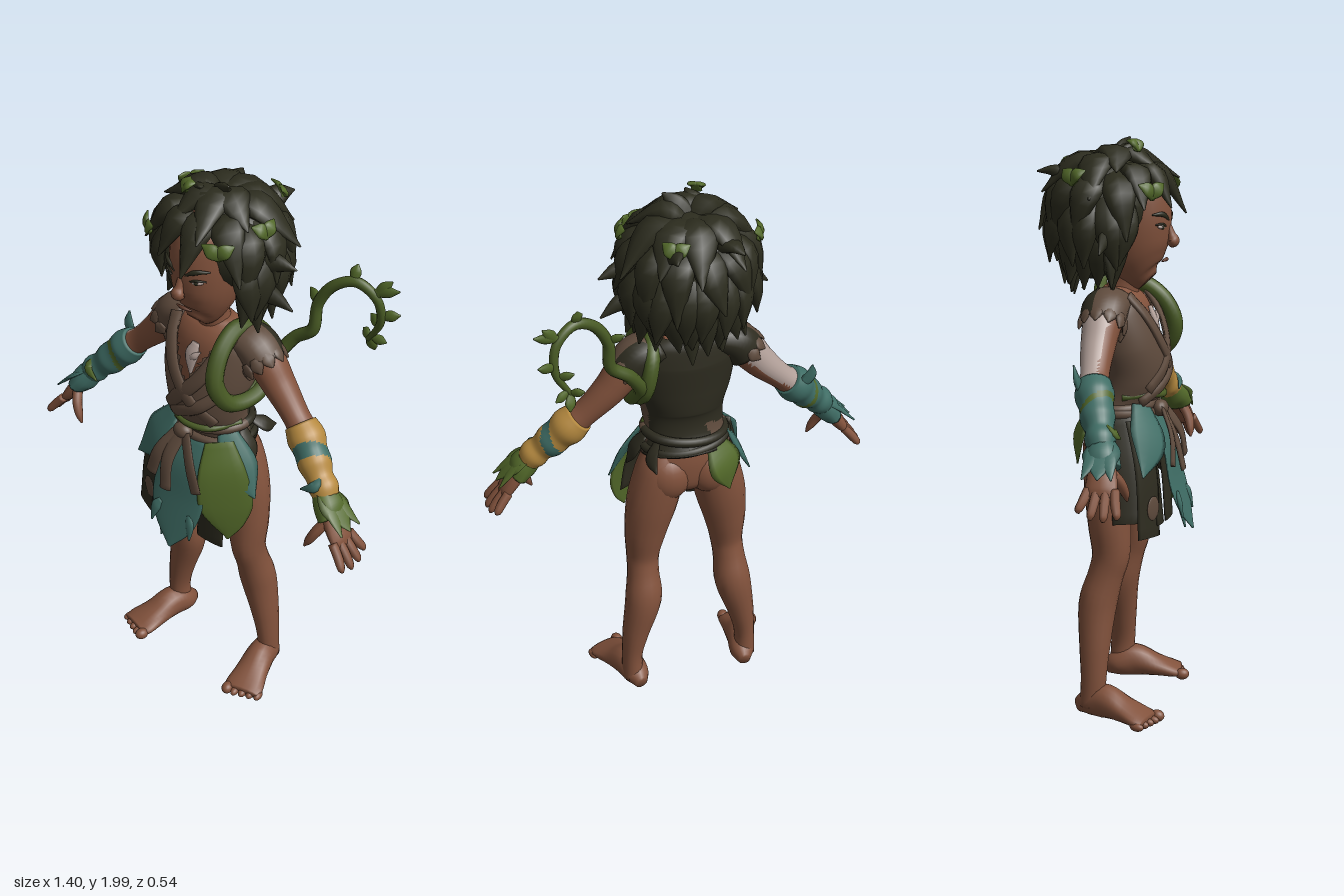
import * as THREE from 'three';

const M = {};
for (const [name, hex] of Object.entries({
  skin: 0x82523c, hair: 0x2c2c1e, vestBrown: 0x5f4b3d, darkCloth: 0x2d2b1f, teal: 0x3f6d65,
  leafGreen: 0x526829, vineGreen: 0x485a24, ochre: 0xb5893f, pale: 0xb3a19a, lip: 0x633c2c,
})) { M[name] = new THREE.MeshStandardMaterial({ color: hex }); M[name].name = name; }

let seed = 7;
const rand = () => { seed = (seed * 16807) % 2147483647; return seed / 2147483647; };
const V = (a) => new THREE.Vector3(a[0], a[1], a[2]);
const mir = (pts, s) => pts.map((p) => [p[0] * s, ...p.slice(1)]);

export function createModel() {
  const root = new THREE.Group();

  // Sweeps an ellipse along points [x, y, z, halfWidth, halfDepth]; ref sets the depth direction.
  // pick(x, y, z) chooses the material index of a face, -1 leaves it out.
  function sweep(name, mat, pts, { ref = null, n = 12, seg = pts.length * 4, pick = () => 0 } = {}) {
    const path = new THREE.CatmullRomCurve3(pts.map(V));
    const size = new THREE.CatmullRomCurve3(pts.map((p) => new THREE.Vector3(p[3], p[4] ?? p[3], 0)), false, 'catmullrom');
    const pos = [], T = new THREE.Vector3(), S = new THREE.Vector3();
    const N = ref ? V(ref) : new THREE.Vector3(0.2, 0.1, 1);
    for (let i = 0; i <= seg; i++) {
      const c = path.getPoint(i / seg), r = size.getPoint(i / seg);
      path.getTangent(i / seg, T);
      S.crossVectors(ref ? V(ref) : N, T).normalize();
      N.crossVectors(T, S);
      for (let j = 0; j < n; j++) {
        const t = (j / n) * Math.PI * 2;
        const p = c.clone().addScaledVector(S, Math.max(r.x, 0.001) * Math.cos(t)).addScaledVector(N, Math.max(r.y, 0.001) * Math.sin(t));
        pos.push(p.x, p.y, p.z);
      }
    }
    pos.push(...pts[0].slice(0, 3), ...pts[pts.length - 1].slice(0, 3));
    const mats = [mat].flat(), sets = mats.map(() => []);
    const face = (...f) => {
      const m = [0, 1, 2].map((k) => f.reduce((s, v) => s + pos[v * 3 + k], 0) / 3);
      const g = pick(...m);
      if (g >= 0) sets[g].push(...f);
    };
    const c0 = (seg + 1) * n;
    for (let j = 0; j < n; j++) {
      const k = (j + 1) % n;
      for (let i = 0; i < seg; i++) {
        const a = i * n, b = a + n;
        face(a + j, a + k, b + k);
        face(a + j, b + k, b + j);
      }
      face(c0, k, j);
      face(c0 + 1, seg * n + j, seg * n + k);
    }
    const geo = new THREE.BufferGeometry();
    geo.setAttribute('position', new THREE.Float32BufferAttribute(pos, 3));
    geo.setIndex(sets.flat());
    let start = 0;
    sets.forEach((s, i) => { geo.addGroup(start, s.length, i); start += s.length; });
    geo.computeVertexNormals();
    const mesh = new THREE.Mesh(geo, mats.length > 1 ? mats : mat);
    mesh.name = name;
    root.add(mesh);
  }
  // Flat pointed leaf
  const leaf = (name, mat, base, mid, tip, w, ref) => sweep(name, mat,
    [[...base, w * 0.55, 0.006], [...mid, w, 0.009], [...tip, 0.003, 0.003]], { ref, n: 8, seg: 10 });
  // Flat cloth strip of even width
  const strip = (name, mat, pts, w, ref = [0, 0, 1], b = 0.008) =>
    sweep(name, mat, pts.map((p) => [...p, w, b]), { ref, n: 10 });
  function ball(name, mat, p, r, rotY = 0, rotZ = 0) {
    const m = new THREE.Mesh(new THREE.SphereGeometry(1, 20, 14), mat);
    m.name = name; m.position.set(...p); m.scale.set(...r); m.rotation.set(0, rotY, rotZ);
    root.add(m);
  }
  const front = { ref: [0, 0, 1], n: 24 };

  // Body
  sweep('pelvis', M.skin, [[0, 0.86, -0.01, 0.06, 0.05], [0, 0.9, -0.01, 0.14, 0.08], [0, 0.98, 0, 0.165, 0.095], [0, 1.08, 0.01, 0.135, 0.09]], front);
  sweep('torso', M.skin, [[0, 1.04, 0.01, 0.135, 0.085], [0, 1.18, 0.02, 0.135, 0.095], [0, 1.3, 0.02, 0.16, 0.1], [0, 1.4, 0.01, 0.165, 0.095], [0, 1.46, 0, 0.13, 0.07], [0, 1.49, 0, 0.06, 0.05]], front);
  sweep('neck', M.skin, [[0, 1.42, 0, 0.068, 0.06], [0, 1.5, 0.015, 0.056, 0.056], [0, 1.58, 0.03, 0.06, 0.06]], front);

  // Head and face
  sweep('head', M.skin, [[0, 1.507, 0.1, 0.03, 0.04], [0, 1.53, 0.078, 0.062, 0.08], [0, 1.58, 0.055, 0.092, 0.113], [0, 1.65, 0.04, 0.11, 0.138], [0, 1.74, 0.03, 0.117, 0.15], [0, 1.82, 0.02, 0.11, 0.14], [0, 1.88, 0, 0.06, 0.09]], front);
  sweep('nose', M.skin, [[0, 1.7, 0.17, 0.011, 0.01], [0, 1.665, 0.181, 0.015, 0.015], [0, 1.645, 0.188, 0.024, 0.021], [0, 1.63, 0.175, 0.018, 0.012]], { ref: [0, 0, 1] });
  sweep('mouth', M.lip, [[-0.032, 1.578, 0.156, 0.003], [0, 1.582, 0.164, 0.007], [0.032, 1.578, 0.156, 0.003]], { ref: [0, 0, 1], n: 8 });
  for (const s of [-1, 1]) {
    ball('eyeWhite', M.pale, [s * 0.06, 1.695, 0.158], [0.02, 0.006, 0.006], s * 0.42, s * 0.12);
    ball('iris', M.hair, [s * 0.057, 1.696, 0.162], [0.009, 0.009, 0.005], s * 0.42);
    sweep('eyelid', M.hair, mir([[0.035, 1.698, 0.169, 0.003], [0.06, 1.706, 0.163, 0.004], [0.086, 1.704, 0.145, 0.003]], s), { n: 6 });
    sweep('eyebrow', M.hair, mir([[0.022, 1.718, 0.175, 0.004], [0.06, 1.738, 0.165, 0.009, 0.006], [0.095, 1.738, 0.135, 0.003]], s), { ref: [0, 0, 1], n: 8 });
    ball('ear', M.skin, [s * 0.118, 1.67, 0.02], [0.018, 0.04, 0.028]);
  }

  // Legs, feet and toes
  for (const s of [-1, 1]) {
    sweep('leg', M.skin, mir([[0.222, 0.04, -0.045, 0.04, 0.045], [0.222, 0.14, -0.04, 0.038, 0.045], [0.205, 0.25, -0.04, 0.05, 0.054], [0.172, 0.4, -0.036, 0.067, 0.067], [0.165, 0.5, -0.01, 0.058, 0.062], [0.16, 0.57, 0.007, 0.06, 0.066], [0.15, 0.68, 0, 0.077, 0.075], [0.125, 0.82, -0.01, 0.093, 0.085], [0.095, 0.95, -0.01, 0.088, 0.088], [0.08, 1.02, 0, 0.07, 0.07]], s), { ref: [0, 0, 1], n: 18 });
    ball('buttock', M.skin, [s * 0.077, 0.93, -0.042], [0.085, 0.095, 0.068]);
    sweep('foot', M.skin, mir([[0.205, 0.033, -0.1, 0.022, 0.026], [0.21, 0.048, -0.06, 0.046, 0.046], [0.225, 0.062, 0, 0.052, 0.06], [0.245, 0.042, 0.08, 0.062, 0.04], [0.262, 0.027, 0.14, 0.073, 0.026], [0.27, 0.021, 0.17, 0.066, 0.019]], s), { ref: [0, 1, 0], n: 16 });
    for (let i = 0; i < 5; i++) {
      const x = 0.218 + i * 0.027, r = i ? 0.015 : 0.021, z = 0.186 - i * 0.012;
      ball('toe', M.skin, [s * x, r, z], [r, r, 0.026], s * 0.25);
    }
  }

  // Arms, hands and fingers
  for (const s of [-1, 1]) {
    sweep('arm', [M.skin, M.pale], mir([[0.12, 1.43, -0.01, 0.055, 0.06], [0.19, 1.4, -0.01, 0.067, 0.067], [0.27, 1.31, -0.01, 0.056, 0.058], [0.35, 1.23, 0, 0.045, 0.048], [0.41, 1.175, 0.015, 0.05, 0.05], [0.48, 1.1, 0.045, 0.042, 0.042], [0.545, 1.03, 0.07, 0.031, 0.035], [0.57, 1, 0.08, 0.03, 0.036]], s), {
      ref: [0, 0, 1], n: 24, seg: 48,
      pick: (x, y, z) => (x < -0.2 && x > -0.41 && y - 1.4 + (-x - 0.19) * 1.09 - z * 1.1 > 0.046 ? 1 : 0),
    });
    sweep('palm', M.skin, mir([[0.555, 1.015, 0.078, 0.027, 0.034], [0.595, 0.96, 0.085, 0.028, 0.048], [0.628, 0.915, 0.09, 0.022, 0.052], [0.643, 0.893, 0.09, 0.012, 0.046]], s), { ref: [0, 0, 1] });
    for (let i = 0; i < 4; i++) {
      const z = 0.048 + i * 0.029, e = z + (i - 1.5) * 0.013, l = [0.8, 1, 1.05, 0.95][i];
      sweep('finger', M.skin, mir([[0.628, 0.915, z, 0.016], [0.628 + 0.035 * l, 0.915 - 0.04 * l, (z + e) / 2, 0.016], [0.628 + 0.058 * l, 0.915 - 0.07 * l, e, 0.013], [0.628 + 0.064 * l, 0.915 - 0.082 * l, e, 0.005]], s), { n: 8 });
    }
    sweep('thumb', M.skin, mir([[0.58, 0.97, 0.105, 0.019], [0.556, 0.925, 0.135, 0.018], [0.536, 0.885, 0.147, 0.014], [0.522, 0.858, 0.15, 0.004]], s), { n: 8 });
  }

  // Wrapped forearm cuffs with wrist leaves
  for (const s of [-1, 1]) {
    const wrap = s > 0 ? [M.ochre, M.teal] : [M.teal, M.leafGreen];
    const width = s > 0 ? 0.06 : 0.025;
    sweep('forearmWrap', wrap, mir([[0.375, 1.21, 0.005, 0.054, 0.056], [0.41, 1.175, 0.015, 0.065, 0.066], [0.44, 1.143, 0.028, 0.057, 0.057], [0.47, 1.11, 0.04, 0.058, 0.058], [0.5, 1.08, 0.053, 0.046, 0.047], [0.525, 1.055, 0.062, 0.051, 0.051], [0.545, 1.03, 0.07, 0.042, 0.044]], s), {
      ref: [0, 0, 1], n: 24, seg: 40,
      pick: (x, y, z) => { const d = Math.abs(x) - y * 0.6 + z * 0.9; return d > -0.22 && d < -0.22 + width ? 1 : 0; },
    });
    const cuff = s > 0 ? M.leafGreen : M.teal;
    sweep('wristCuff', cuff, mir([[0.53, 1.045, 0.068, 0.04, 0.042], [0.56, 1.01, 0.077, 0.048, 0.055], [0.585, 0.975, 0.083, 0.038, 0.062]], s), { ref: [0, 0, 1] });
    for (const [z, w] of [[0.035, 0.03], [0.085, 0.062], [0.13, 0.03]])
      leaf('wristLeaf', cuff, [s * 0.53, 1.06, 0.07], [s * 0.595, 1.015, (z + 0.08) / 2], [s * 0.66, 0.955, z], w, [s * 0.6, 0.8, 0]);
    leaf('cuffLeaf', s > 0 ? M.teal : M.leafGreen, [s * 0.5, 1.11, 0.06], [s * 0.52, 1.08, 0.105], [s * 0.47, 1.05, 0.115], 0.02, [0, 0.3, 1]);
  }
  leaf('elbowLeaf', M.teal, [-0.41, 1.19, -0.03], [-0.445, 1.23, -0.035], [-0.45, 1.28, -0.045], 0.025, [0, 0, 1]);

  // Vest with open neck, dark back, lapels and ragged sleeves
  sweep('vest', [M.vestBrown, M.darkCloth], [[0, 1.02, -0.005, 0.16, 0.122], [0, 1.09, 0.012, 0.14, 0.106], [0, 1.18, 0.036, 0.147, 0.13], [0, 1.28, 0.032, 0.172, 0.13], [0, 1.4, 0.01, 0.18, 0.112], [0, 1.46, 0, 0.15, 0.09], [0, 1.49, 0, 0.085, 0.066]], {
    ref: [0, 0, 1], n: 64, seg: 60,
    pick: (x, y, z) => ((z > 0.02 && Math.abs(x) < (y - 1.29) * 0.58) || y > 1.486 ? -1 : z < (x < -0.03 && y < 1.17 + x * 0.4 ? -0.08 : -0.01) ? 1 : 0),
  });
  for (const s of [-1, 1]) {
    strip('lapel', M.vestBrown, mir([[0.122, 1.47, 0.06], [0.098, 1.4, 0.115], [0.05, 1.31, 0.155], [-0.03, 1.22, 0.167], [-0.1, 1.14, 0.125]], s), 0.026, [0, 0.1, 1], 0.011);
    sweep('sleeve', [M.vestBrown, M.darkCloth], mir([[0.1, 1.45, -0.005, 0.05, 0.075], [0.17, 1.425, -0.01, 0.067, 0.08], [0.21, 1.378, -0.01, 0.073, 0.076]], s), { ref: [0, 0, 1], n: 20, pick: (x, y, z) => (z < -0.04 ? 1 : 0) });
    for (let i = 0; i < 8; i++) {
      const t = i * 0.6 - 1.3, u = Math.cos(t) * 0.072, z = -0.01 + Math.sin(t) * 0.076;
      leaf('sleeveFray', M.vestBrown, [s * (0.187 + u * 0.7), 1.395 + u * 0.7, z], [s * (0.206 + u * 0.72), 1.374 + u * 0.7, z], [s * (0.226 + u * 0.72), 1.354 + u * 0.7, z], 0.024, [s * Math.cos(t) * 0.7, Math.cos(t) * 0.7, Math.sin(t)]);
    }
  }
  strip('vestFold', M.vestBrown, [[0.14, 1.29, 0.115], [0.06, 1.21, 0.165], [-0.04, 1.15, 0.155], [-0.11, 1.1, 0.1]], 0.022, [0, 0, 1], 0.012);
  leaf('pendant', M.pale, [0.005, 1.42, 0.106], [0, 1.375, 0.125], [0.01, 1.31, 0.142], 0.028, [0, 0.2, 1]);
  leaf('pendantBarb', M.pale, [-0.01, 1.36, 0.128], [0.015, 1.38, 0.128], [0.035, 1.4, 0.12], 0.012, [0, 0.2, 1]);

  // Belt, brown in front and dark behind, with knot and hanging ties
  for (const [name, y, r, tube, tilt] of [['beltUpper', 1.09, 0.142, 0.018, 0.1], ['beltLower', 1.055, 0.15, 0.017, -0.06]])
    for (const mat of [M.vestBrown, M.darkCloth]) {
      const m = new THREE.Mesh(new THREE.TorusGeometry(r, tube, 8, 24, Math.PI), mat);
      m.name = name; m.position.set(0, y, 0.012); m.scale.set(1, 0.8, 1);
      m.rotation.set(Math.PI / 2, tilt, mat === M.vestBrown ? 0 : Math.PI);
      root.add(m);
    }
  strip('beltVine', M.vineGreen, [[-0.135, 1.12, 0.04], [-0.08, 1.125, 0.125], [0, 1.115, 0.153], [0.08, 1.115, 0.13], [0.14, 1.12, 0.03]], 0.012, [0, 0.2, 1], 0.012);
  ball('beltKnot', M.vestBrown, [-0.02, 1.07, 0.15], [0.038, 0.03, 0.028]);
  strip('beltTie', M.vestBrown, [[-0.03, 1.07, 0.16], [-0.085, 0.98, 0.205], [-0.115, 0.885, 0.215]], 0.024);
  strip('beltTie', M.vestBrown, [[-0.02, 1.07, 0.16], [-0.04, 0.97, 0.21], [-0.03, 0.86, 0.235]], 0.026);
  strip('beltTie', M.vestBrown, [[0, 1.07, 0.16], [0.06, 0.98, 0.205], [0.095, 0.89, 0.215]], 0.024);

  // Skirt of leaves and cloth
  sweep('skirtCentreLeaf', M.teal, [[0, 1.05, 0.13, 0.07, 0.008], [0, 0.95, 0.175, 0.095, 0.01], [0, 0.82, 0.205, 0.115, 0.01], [0.005, 0.72, 0.235, 0.085, 0.008], [0.01, 0.64, 0.262, 0.006, 0.004]], front);
  for (const [x, y] of [[-0.08, 0.715], [0.08, 0.71], [-0.04, 0.67]])
    leaf('leafTooth', M.teal, [x * 0.8, y + 0.07, 0.22], [x, y + 0.04, 0.232], [x * 1.1, y - 0.015, 0.245], 0.02, [0, 0, 1]);
  sweep('skirtGreenLeaf', M.leafGreen, [[0.11, 1.06, 0.11, 0.05, 0.007], [0.15, 0.96, 0.14, 0.085, 0.009], [0.175, 0.84, 0.15, 0.095, 0.009], [0.185, 0.76, 0.15, 0.055, 0.007], [0.185, 0.7, 0.15, 0.004]], { ref: [0.6, 0, 0.8] });
  leaf('skirtTealLeaf', M.teal, [0.12, 1.09, 0.08], [0.19, 0.98, 0.095], [0.255, 0.88, 0.09], 0.065, [0.7, 0.3, 0.7]);
  leaf('skirtTealLeaf', M.teal, [-0.1, 1.09, 0.1], [-0.165, 0.98, 0.14], [-0.245, 0.87, 0.14], 0.08, [-0.5, 0.3, 0.8]);
  strip('skirtCloth', M.darkCloth, [[-0.13, 1.04, 0.09], [-0.175, 0.87, 0.135], [-0.195, 0.65, 0.15]], 0.066, [-0.4, 0, 1]);
  strip('skirtCloth', M.darkCloth, [[-0.08, 1.03, 0.12], [-0.1, 0.85, 0.15], [-0.11, 0.68, 0.17]], 0.05);
  strip('skirtCloth', M.darkCloth, [[0.08, 1.03, 0.11], [0.1, 0.85, 0.14], [0.105, 0.65, 0.155]], 0.06);
  strip('skirtCloth', M.darkCloth, [[-0.15, 1.05, 0.03], [-0.19, 0.9, 0.06], [-0.225, 0.7, 0.08]], 0.05, [-1, 0, 0.2]);
  strip('skirtLining', M.darkCloth, [[0.1, 1.05, 0.095], [0.14, 0.93, 0.122], [0.16, 0.8, 0.13]], 0.07, [0.6, 0, 0.8], 0.006);
  ball('clothPatch', M.vestBrown, [-0.178, 0.75, 0.16], [0.035, 0.042, 0.006], -0.38);
  leaf('hipLeaf', M.leafGreen, [-0.08, 1.07, -0.085], [-0.11, 0.98, -0.118], [-0.125, 0.88, -0.12], 0.075, [-0.5, 0, -0.9]);
  leaf('hipLeaf', M.teal, [-0.14, 1.08, -0.03], [-0.19, 0.98, -0.03], [-0.235, 0.88, -0.02], 0.045, [-1, 0.3, -0.2]);
  leaf('hipLeaf', M.darkCloth, [0.12, 1.08, -0.05], [0.15, 1.05, -0.09], [0.15, 1.02, -0.145], 0.03, [0.8, 0.5, -0.3]);
  leaf('hipLeaf', M.darkCloth, [0.14, 1.08, 0.02], [0.18, 1.02, 0.03], [0.2, 0.95, 0.05], 0.04, [1, 0.2, 0]);

  // Vine coiled round the shoulder, ending in a hooked tendril
  sweep('shoulderVine', M.vineGreen, [[0.11, 1.25, 0.13, 0.012], [0.165, 1.24, 0.03, 0.025], [0.165, 1.32, -0.085, 0.026], [0.14, 1.44, -0.075, 0.028], [0.12, 1.49, 0.03, 0.03], [0.125, 1.44, 0.12, 0.031], [0.14, 1.34, 0.165, 0.031], [0.165, 1.255, 0.12, 0.03], [0.19, 1.25, 0.01, 0.027], [0.185, 1.34, -0.09, 0.025], [0.235, 1.425, -0.13, 0.023], [0.3, 1.48, -0.14, 0.022], [0.31, 1.58, -0.15, 0.02], [0.36, 1.66, -0.165, 0.019], [0.43, 1.69, -0.19, 0.018], [0.495, 1.64, -0.215, 0.016], [0.505, 1.55, -0.23, 0.014], [0.455, 1.46, -0.235, 0.008]], { n: 10, seg: 120 });
  for (const [x, y, z, dx, dy] of [[0.31, 1.58, -0.15, -0.05, 0.03], [0.42, 1.69, -0.185, 0, 0.055], [0.48, 1.66, -0.21, 0.09, 0.03], [0.49, 1.65, -0.21, 0.05, 0.065], [0.505, 1.57, -0.23, 0.06, 0.02], [0.5, 1.53, -0.23, -0.05, 0.02], [0.46, 1.47, -0.235, -0.04, 0.01], [0.46, 1.47, -0.235, 0.01, -0.055], [0.47, 1.48, -0.235, 0.045, -0.02]])
    leaf('vineLeaf', M.leafGreen, [x, y, z], [x + dx * 0.55, y + dy * 0.6, z - 0.012], [x + dx, y + dy, z - 0.022], 0.02, [0.2, 0.1, 1]);

  // Hair mass and rows of long pointed locks
  ball('hairCap', M.hair, [0, 1.765, -0.045], [0.2, 0.172, 0.178]);
  ball('hairNape', M.hair, [0, 1.63, -0.09], [0.165, 0.12, 0.095]);
  const C = [0, 1.755, -0.03], D = Math.PI / 180;
  const at = (az, el, r) => [C[0] + 1.07 * r * Math.sin(az * D) * Math.cos(el * D), C[1] + r * Math.sin(el * D), C[2] + r * Math.cos(az * D) * Math.cos(el * D)];
  // [locks, elevations, radii, width, bare angle at the face]
  for (const [count, el, rad, w, gap] of [[13, [0, -38, -58], [0.16, 0.208, 0.295], 0.05, 72], [13, [25, -14, -42], [0.16, 0.21, 0.275], 0.053, 62], [13, [56, 18, -22], [0.15, 0.202, 0.245], 0.056, 0], [9, [88, 52, 10], [0.15, 0.198, 0.238], 0.066, 0]]) {
    for (let i = 0; i < count; i++) {
      const az = gap + ((i + (gap ? 0 : 0.5)) / (gap ? count - 1 : count)) * (360 - 2 * gap);
      const lift = Math.cos(az * D) > 0.5 && !gap ? 19 : 0, j = (rand() - 0.5) * 26, k = (rand() - 0.5) * 12;
      const p0 = at(az, el[0], rad[0]), p1 = at(az + j * 0.3, el[1] + lift, rad[1]), p2 = at(az + j, el[2] + lift + k, rad[2] + (rand() - 0.4) * 0.03);
      sweep('hairLock', M.hair, [[...p0, w * 0.6, 0.02], [...p1, w, 0.03], [...p2, 0.003, 0.003]], { ref: at(az, el[1], 1).map((v, q) => v - C[q]), n: 8, seg: 9 });
    }
  }
  // Stray tufts: root to tip
  for (const [a, b] of [[[0, 1.9, -0.02], [0.07, 1.99, 0.02]], [[-0.05, 1.9, 0], [-0.02, 1.975, 0.06]], [[0.17, 1.75, 0], [0.305, 1.75, -0.04]], [[0.16, 1.65, 0], [0.3, 1.6, -0.03]], [[-0.16, 1.68, 0], [-0.29, 1.62, 0]], [[-0.15, 1.62, 0], [-0.2, 1.5, 0.02]], [[0.15, 1.62, 0], [0.2, 1.5, 0.02]], [[-0.08, 1.86, -0.15], [-0.11, 1.88, -0.26]], [[0.08, 1.86, -0.15], [0.11, 1.88, -0.26]], [[0.03, 1.6, -0.15], [0.03, 1.45, -0.17]], [[-0.07, 1.6, -0.14], [-0.08, 1.47, -0.15]]]) {
    const m = a.map((v, i) => (v + b[i]) / 2 + (i === 1 ? 0.012 : 0));
    sweep('hairTuft', M.hair, [[...a, 0.045, 0.03], [...m, 0.034, 0.02], [...b, 0.003, 0.003]], { n: 8, seg: 8 });
  }
  // Leaf clusters caught in the hair
  for (const [az, el] of [[-40, 14], [36, 18], [-30, 60], [-112, 26], [152, 34], [78, 30]])
    for (const d of [-8, 8])
      leaf('hairLeaf', M.leafGreen, at(az - d * 0.4, el - 3, 0.232), at(az + d * 0.6, el + 3, 0.25), at(az + d * 1.6, el + 7, 0.248), 0.025, at(az, el, 1).map((v, q) => v - C[q]));

  return root;
}
